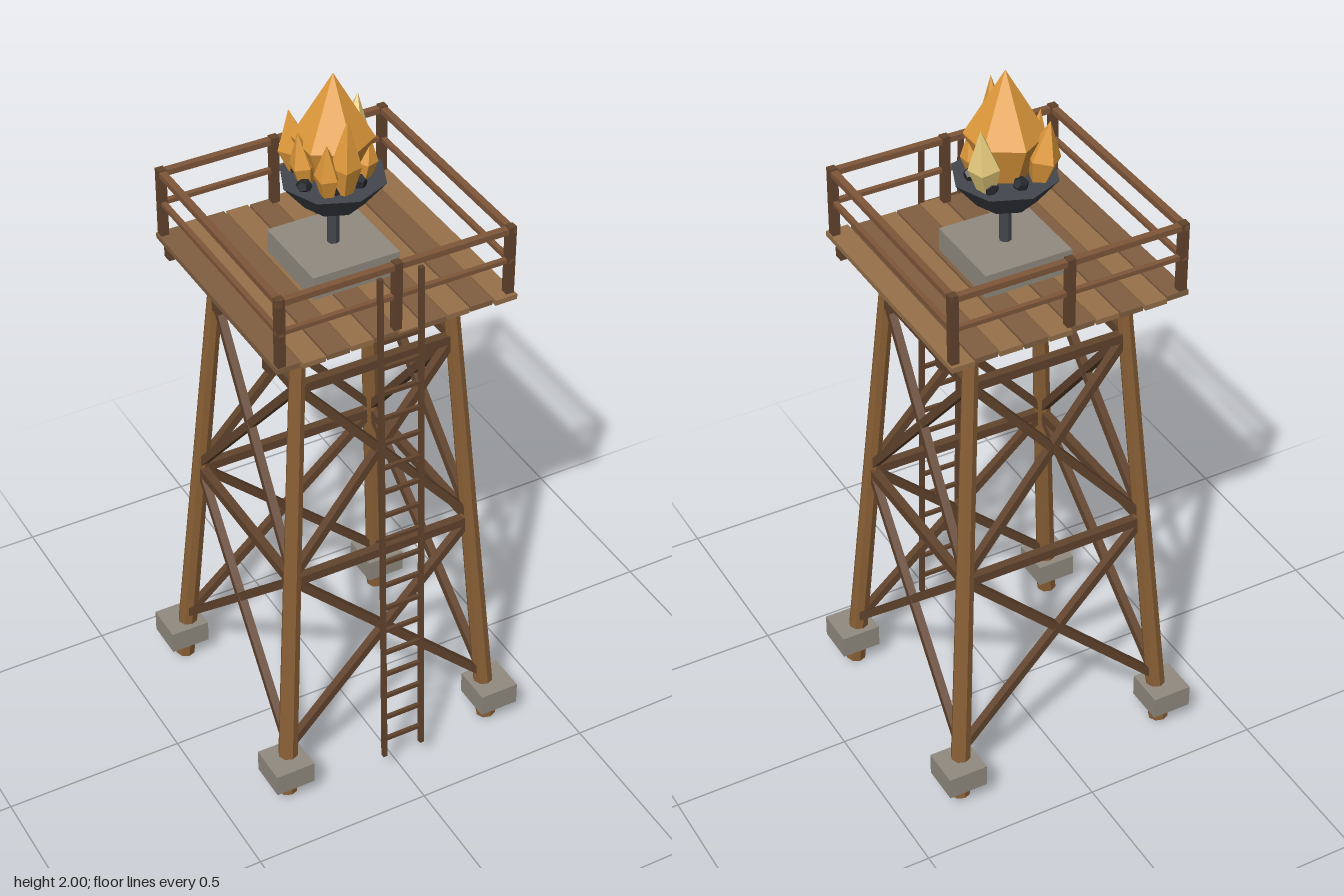
import * as THREE from 'three';

const mat = (color) => new THREE.MeshStandardMaterial({ color, flatShading: true });
const V = (x, y, z) => new THREE.Vector3(x, y, z);

export function createModel() {
  const root = new THREE.Group();
  root.name = 'beaconTower';
  const tower = new THREE.Group();
  tower.name = 'tower';
  tower.position.z = -0.014;
  root.add(tower);

  const legWood = mat(0x8a6036), darkWood = mat(0x62442d), railWood = mat(0x80573a);
  const plankWoods = [mat(0x826041), mat(0x98724a)];
  const stone = mat(0x918b80), iron = mat(0x43474d), coal = mat(0x24262a);
  const flameOrange = mat(0xe39c3c), flamePale = mat(0xebd080);

  const add = (name, geometry, material, x = 0, y = 0, z = 0, parent = tower) => {
    const m = new THREE.Mesh(geometry, material);
    m.name = name;
    m.position.set(x, y, z);
    parent.add(m);
    return m;
  };
  const box = (name, w, h, d, material, x, y, z, parent) =>
    add(name, new THREE.BoxGeometry(w, h, d), material, x, y, z, parent);
  // Square timber from a to b, in the parent's own frame
  const beam = (name, a, b, w, h, material, parent) => {
    const mid = a.clone().add(b).multiplyScalar(0.5);
    const m = box(name, w, h, a.distanceTo(b), material, mid.x, mid.y, mid.z, parent);
    m.quaternion.setFromRotationMatrix(new THREE.Matrix4().lookAt(b, a, V(0, 1, 0)));
  };

  // Distance of the leg axis from the centre at a given height
  const spread = (y) => 0.315 - 0.1 * (y / 1.42);

  // Legs and footings
  for (const sx of [-1, 1]) for (const sz of [-1, 1]) {
    const a = V(sx * spread(0.006), 0.006, sz * spread(0.006));
    const b = V(sx * spread(1.418), 1.418, sz * spread(1.418));
    const dir = b.clone().sub(a);
    const leg = add('leg', new THREE.CylinderGeometry(0.021, 0.028, dir.length(), 8), legWood);
    leg.position.copy(a).add(b).multiplyScalar(0.5);
    leg.quaternion.setFromUnitVectors(V(0, 1, 0), dir.normalize());
    box('footing', 0.112, 0.065, 0.112, stone, sx * 0.319, 0.098, sz * 0.319);
  }

  // Braces, one set for each of the four sides
  for (let i = 0; i < 4; i++) {
    const side = new THREE.Group();
    side.name = 'sideBracing';
    side.rotation.y = i * Math.PI / 2;
    tower.add(side);
    const at = (s, y) => V(s * spread(y), y, spread(y));
    for (const y of [0.7, 1.285]) beam('crossbar', at(-1, y), at(1, y), 0.024, 0.026, darkWood, side);
    for (const [lo, hi] of [[0.155, 0.7], [0.715, 1.285]]) for (const s of [-1, 1])
      beam('diagonalBrace', at(s, lo), at(-s, hi), 0.022, 0.022, darkWood, side);
  }

  // Platform joists and planks
  for (const z of [-0.27, 0, 0.27]) box('joist', 0.67, 0.028, 0.028, darkWood, 0, 1.422, z);
  for (let i = 0; i < 10; i++) {
    const length = 0.672 + 0.008 * ((i * 3) % 4 - 1.5) / 1.5;
    box('plank', 0.062, 0.015, length, plankWoods[i % 2], (i - 4.5) * 0.0673, 1.443, 0);
  }

  // Railing
  const R = 0.319;
  for (const x of [-R, 0, R]) for (const z of [-R, R])
    box('railPost', 0.022, 0.197, 0.022, darkWood, x, 1.548, z);
  for (const s of [-1, 1]) {
    for (const [y, h, w] of [[1.635, 0.016, 0.019], [1.547, 0.012, 0.014]]) {
      box('railX', 0.66, h, w, railWood, 0, y, s * R);
      box('railZ', w, h, 0.66, railWood, s * R, y, 0);
    }
  }

  // Ladder
  const ladder = new THREE.Group();
  ladder.name = 'ladder';
  root.add(ladder);
  const ladderZ = (y) => 0.38 - 0.056 * (y - 0.08) / 1.54;
  for (const x of [-0.057, 0.057])
    beam('ladderRail', V(x, 0.08, ladderZ(0.08)), V(x, 1.625, ladderZ(1.625)), 0.012, 0.013, darkWood, ladder);
  for (let i = 0; i < 18; i++) {
    const y = 0.14 + i * 0.0765;
    box('rung', 0.114, 0.011, 0.01, darkWood, 0, y, ladderZ(y), ladder);
  }

  // Fire bowl on its stone plinth
  box('plinth', 0.245, 0.066, 0.245, stone, 0, 1.483, 0);
  add('pole', new THREE.CylinderGeometry(0.016, 0.016, 0.13, 8), iron, 0, 1.578, 0);
  add('bowl', new THREE.CylinderGeometry(0.138, 0.08, 0.072, 8), iron, 0, 1.675, 0);
  for (let i = 0; i < 7; i++) {
    const a = i * Math.PI * 2 / 7 + 0.45, r = 0.078 + 0.008 * (i % 3);
    const c = add('coal', new THREE.DodecahedronGeometry(0.021), coal, r * Math.sin(a), 1.72, r * Math.cos(a));
    c.rotation.set(i, i * 2, 0);
  }

  // Faceted flames: narrow foot, wide shoulder, pointed tip
  const flame = (name, radius, height, sides, material, x, z, tilt, turn) => {
    const profile = [[0, 0], [0.55, 0], [1, 0.4], [0, 1]]
      .map(([r, h]) => new THREE.Vector2(r * radius, h * height));
    const f = add(name, new THREE.LatheGeometry(profile, sides), material, x, 1.705, z);
    // Lean outward from the centre
    if (tilt) f.quaternion.setFromAxisAngle(V(z, 0, -x).normalize(), tilt);
    f.rotateY(turn);
  };
  flame('mainFlame', 0.104, 0.295, 6, flameOrange, 0, 0, 0, 0);
  const sideFlames = [
    // x, z, radius, height, tilt, material
    [0.074, -0.042, 0.042, 0.185, 0.16, flamePale],
    [-0.06, -0.062, 0.045, 0.175, 0.16, flameOrange],
    [-0.076, 0.0, 0.034, 0.16, 0.14, flameOrange],
    [-0.012, 0.076, 0.042, 0.225, 0.12, flameOrange],
    [-0.052, 0.07, 0.034, 0.16, 0.14, flameOrange],
    [0.064, 0.038, 0.032, 0.13, 0.1, flameOrange],
  ];
  sideFlames.forEach(([x, z, r, h, t, m], i) => flame('sideFlame', r, h, 5, m, x, z, t, i * 0.7));

  return root;
}
